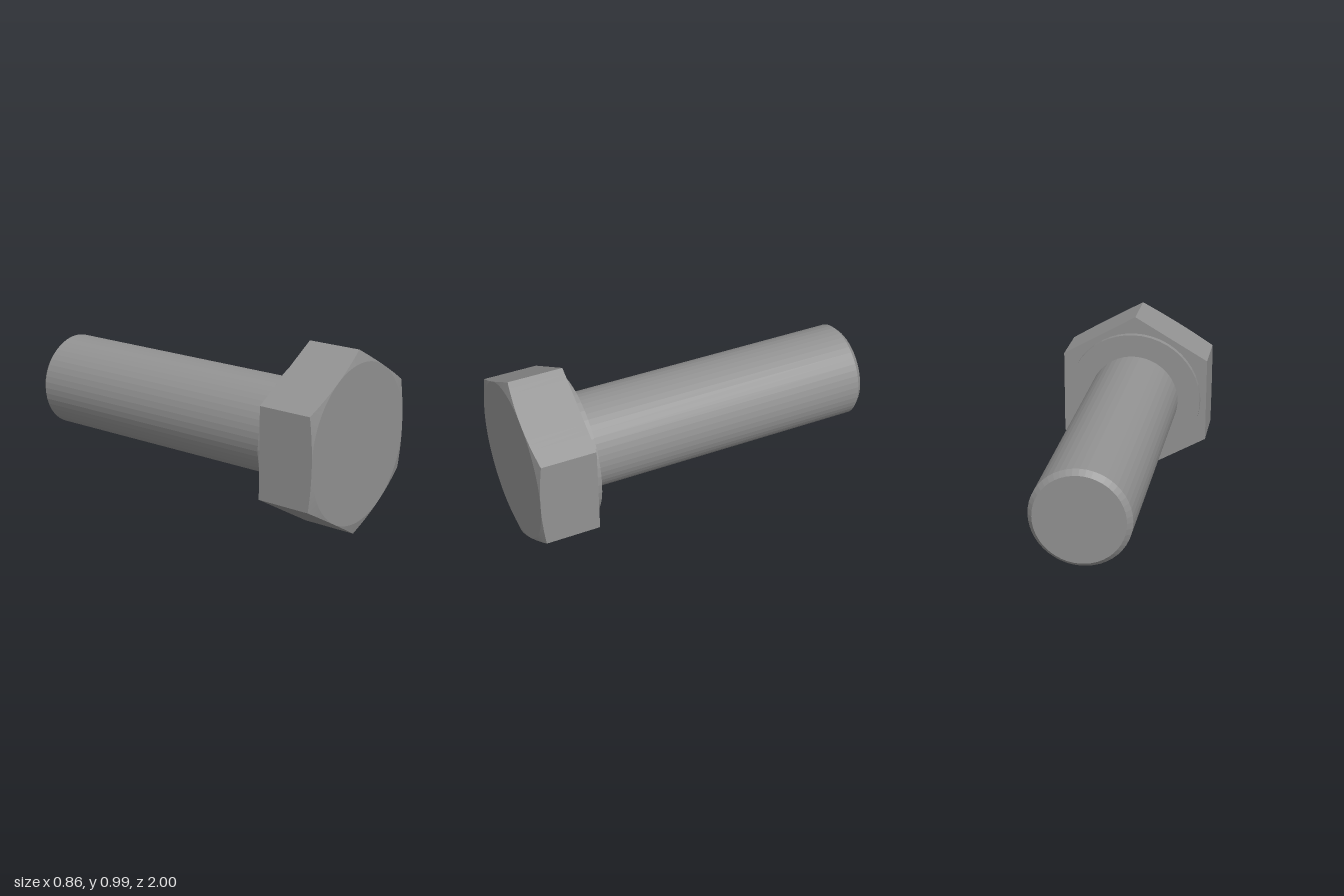
import * as THREE from 'three';

const AXIS_Y = 0.495;      // height of the bolt axis
const CORNER = 0.495;      // head radius across corners
const FLAT = CORNER * Math.cos(Math.PI / 6);

const material = new THREE.MeshStandardMaterial({ color: 0x929292, flatShading: true });

// Revolve [radius, z] points about the bolt axis
function revolve(points, segments) {
  return new THREE.LatheGeometry(points.map(([r, z]) => new THREE.Vector2(r, z)), segments);
}

function addPart(group, name, geometry) {
  const mesh = new THREE.Mesh(geometry.rotateX(Math.PI / 2), material);
  mesh.name = name;
  mesh.position.y = AXIS_Y;
  group.add(mesh);
}

// Hex head: rings wider than the flats are pulled onto the hexagon,
// and the front ring follows the conical chamfer
function hexHead() {
  const back = 0.685, front = 1, slope = 0.27;
  const geo = revolve([[0, back], [CORNER, back], [CORNER, 0.9], [FLAT - 0.0005, front], [0, front]], 96);
  const pos = geo.attributes.position;
  for (let i = 0; i < pos.count; i++) {
    const x = pos.getX(i), y = pos.getY(i), z = pos.getZ(i);
    if (Math.hypot(x, z) < CORNER - 0.01) continue;
    const angle = Math.atan2(x, z) + Math.PI * 2;
    const r = FLAT / Math.cos((angle % (Math.PI / 3)) - Math.PI / 6);
    const newY = y > back + 0.01 ? front - slope * (r - FLAT) : back;
    pos.setXYZ(i, r * Math.sin(angle), newY, r * Math.cos(angle));
  }
  return geo.toNonIndexed();
}

export function createModel() {
  const group = new THREE.Group();
  group.name = 'hexBolt';

  addPart(group, 'head', hexHead());

  // Raised bearing face under the head
  addPart(group, 'washerFace', revolve([[0, 0.65], [0.395, 0.65], [0.395, 0.69]], 48));

  // Plain shank with a chamfered tip
  addPart(group, 'shank', revolve([[0, -1], [0.237, -1], [0.263, -0.972], [0.263, 0.66]], 48));

  return group;
}
